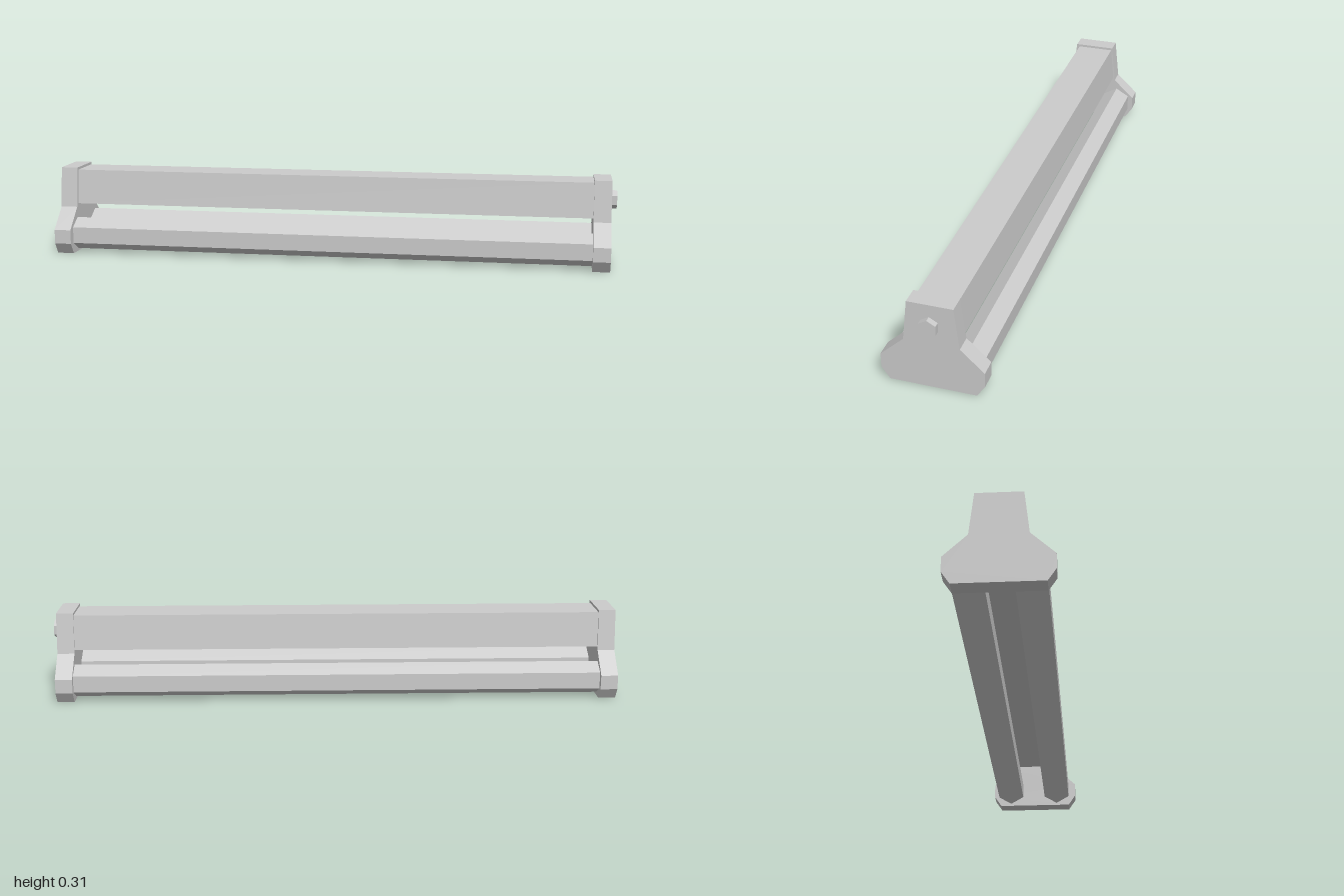
import * as THREE from 'three';

export function createModel() {
  const group = new THREE.Group();
  const grey = new THREE.MeshStandardMaterial({ color: 0xcccccc });
  grey.name = 'light grey';

  // Extrudes a [z, y] outline along x, from x0 to x1
  function prism(name, outline, x0, x1) {
    const shape = new THREE.Shape(outline.map(([z, y]) => new THREE.Vector2(z, y)));
    const geometry = new THREE.ExtrudeGeometry(shape, { depth: x1 - x0, bevelEnabled: false });
    geometry.rotateY(-Math.PI / 2).translate(x1, 0, 0);
    const mesh = new THREE.Mesh(geometry, grey);
    mesh.name = name;
    group.add(mesh);
  }

  // Regular hexagon with a corner at the top
  const hexagon = (z, y, r) => Array.from({ length: 6 }, (_, i) => {
    const a = Math.PI / 6 + i * Math.PI / 3;
    return [z + r * Math.cos(a), y + r * Math.sin(a)];
  });

  // End caps: wide chamfered foot, sloped shoulders, tapered neck
  const half = [[0.142, 0], [0.169, 0.04], [0.169, 0.09], [0.091, 0.163], [0.075, 0.306]];
  const cap = [...half, ...half.map(([z, y]) => [-z, y]).reverse()];
  prism('rightEndCap', cap, -1, -0.94);
  prism('leftEndCap', cap, 0.92, 0.98);

  // Tapered upper beam
  prism('upperBeam', [[0.077, 0.174], [0.064, 0.297], [-0.071, 0.297], [-0.084, 0.174]], -0.94, 0.92);

  // Pair of hexagonal lower bars
  prism('frontLowerBar', hexagon(0.091, 0.067, 0.058), -0.94, 0.92);
  prism('backLowerBar', hexagon(-0.1, 0.067, 0.058), -0.94, 0.92);

  // Hexagonal bolt head on the left cap
  prism('boltHead', hexagon(0.004, 0.231, 0.032), 0.98, 1);

  return group;
}
